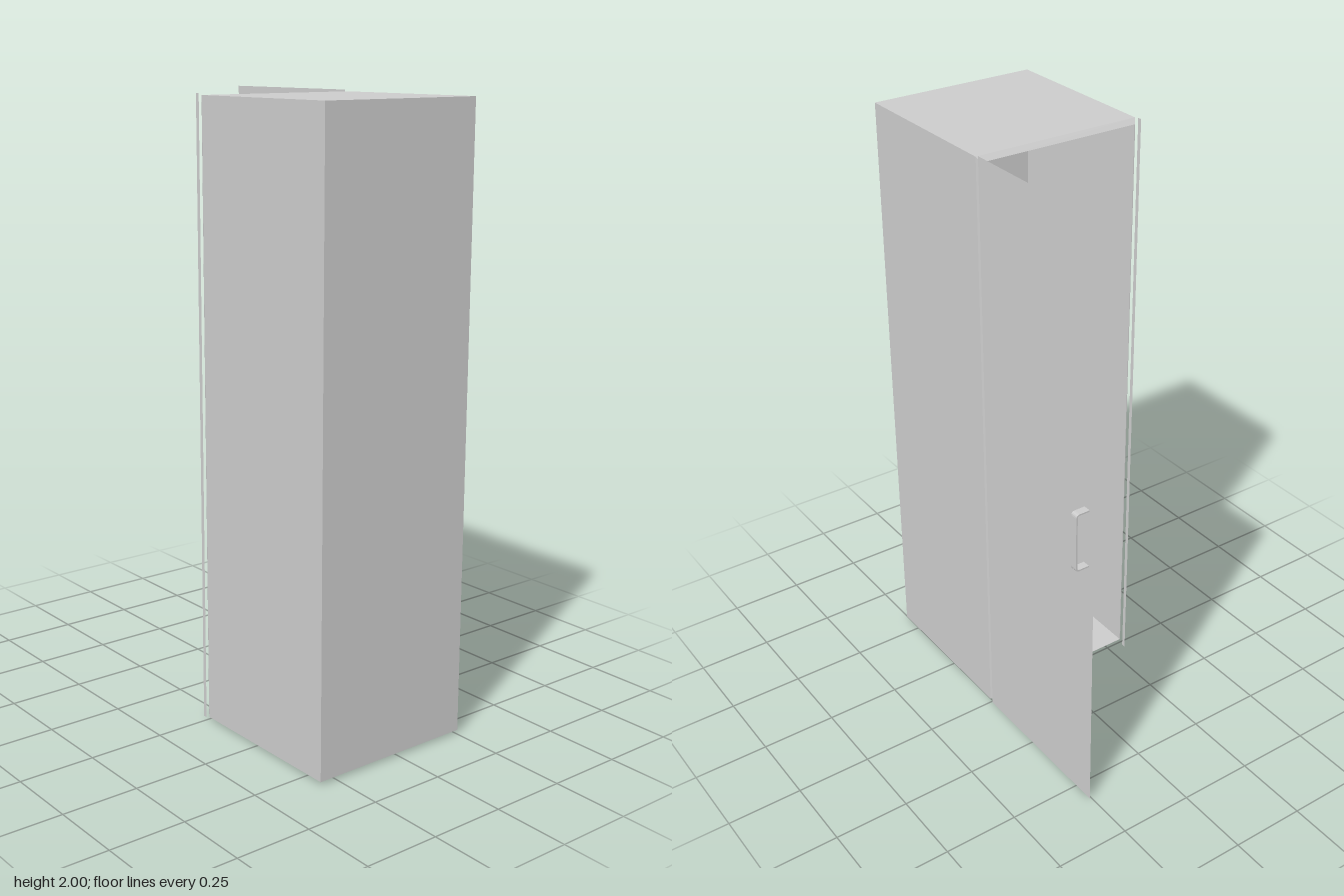
import * as THREE from 'three';

const material = new THREE.MeshStandardMaterial({
  color: 0xcccccc, flatShading: true, side: THREE.DoubleSide,
});

function add(parent, name, geometry) {
  const mesh = new THREE.Mesh(geometry, material);
  mesh.name = name;
  parent.add(mesh);
  return mesh;
}

// Thin upright sheet in the yz plane, full height
function sheet(parent, name, x, z0, z1) {
  const mesh = add(parent, name, new THREE.PlaneGeometry(z1 - z0, 2));
  mesh.rotation.y = Math.PI / 2;
  mesh.position.set(x, 1, (z0 + z1) / 2);
  return mesh;
}

// Skin through rectangular sections [x0, x1, y0, y1, z], capped at the first
function rectLoft(sections) {
  const points = [], index = [];
  for (const [x0, x1, y0, y1, z] of sections) {
    points.push(x0, y0, z, x1, y0, z, x1, y1, z, x0, y1, z);
  }
  index.push(0, 1, 2, 0, 2, 3);
  for (let s = 0; s < sections.length - 1; s++) {
    for (let i = 0; i < 4; i++) {
      const a = s * 4 + i, b = s * 4 + (i + 1) % 4;
      index.push(a, a + 4, b, b, a + 4, b + 4);
    }
  }
  const geometry = new THREE.BufferGeometry();
  geometry.setAttribute('position', new THREE.Float32BufferAttribute(points, 3));
  geometry.setIndex(index);
  const flat = geometry.toNonIndexed();
  flat.computeVertexNormals();
  return flat;
}

export function createModel() {
  const model = new THREE.Group();
  model.name = 'locker';

  // Thin-walled shell, open at the back
  add(model, 'cabinetShell', rectLoft([
    [-0.31, 0.257, 0.01, 1.995, 0.573],
    [-0.31, 0.257, 0.01, 1.995, 0.005],
  ]).toNonIndexed());

  // Bevelled collar around the opening
  const collar = rectLoft([
    [-0.31, 0.257, 0.01, 1.995, 0.005],
    [-0.30, 0.248, 0.024, 1.98, -0.01],
  ]);
  // Drop the cap so that the opening stays clear
  collar.setDrawRange(6, Infinity);
  const open = new THREE.BufferGeometry();
  open.setAttribute('position', new THREE.Float32BufferAttribute(
    collar.attributes.position.array.slice(18), 3));
  open.computeVertexNormals();
  add(model, 'openingRim', open);

  // Edge strips beside the opening
  sheet(model, 'hingeStrip', 0.256, -0.03, -0.006);
  sheet(model, 'latchStrip', -0.306, -0.03, -0.016);

  // Open door with its strap handle
  const door = new THREE.Group();
  door.name = 'door';
  model.add(door);
  sheet(door, 'doorPanel', 0.256, -0.573, -0.03);

  const r = 0.012, t = 0.005, x0 = 0.253, x1 = 0.303, y0 = 0.905, y1 = 1.105;
  const strap = new THREE.Shape();
  strap.moveTo(x0, y1);
  strap.lineTo(x1 - r, y1);
  strap.quadraticCurveTo(x1, y1, x1, y1 - r);
  strap.lineTo(x1, y0 + r);
  strap.quadraticCurveTo(x1, y0, x1 - r, y0);
  strap.lineTo(x0, y0);
  strap.lineTo(x0, y0 + t);
  strap.lineTo(x1 - r, y0 + t);
  strap.quadraticCurveTo(x1 - t, y0 + t, x1 - t, y0 + r);
  strap.lineTo(x1 - t, y1 - r);
  strap.quadraticCurveTo(x1 - t, y1 - t, x1 - r, y1 - t);
  strap.lineTo(x0, y1 - t);
  const handle = add(door, 'handle', new THREE.ExtrudeGeometry(strap, {
    depth: 0.025, bevelEnabled: false, curveSegments: 4,
  }));
  handle.position.z = -0.549;

  return model;
}
